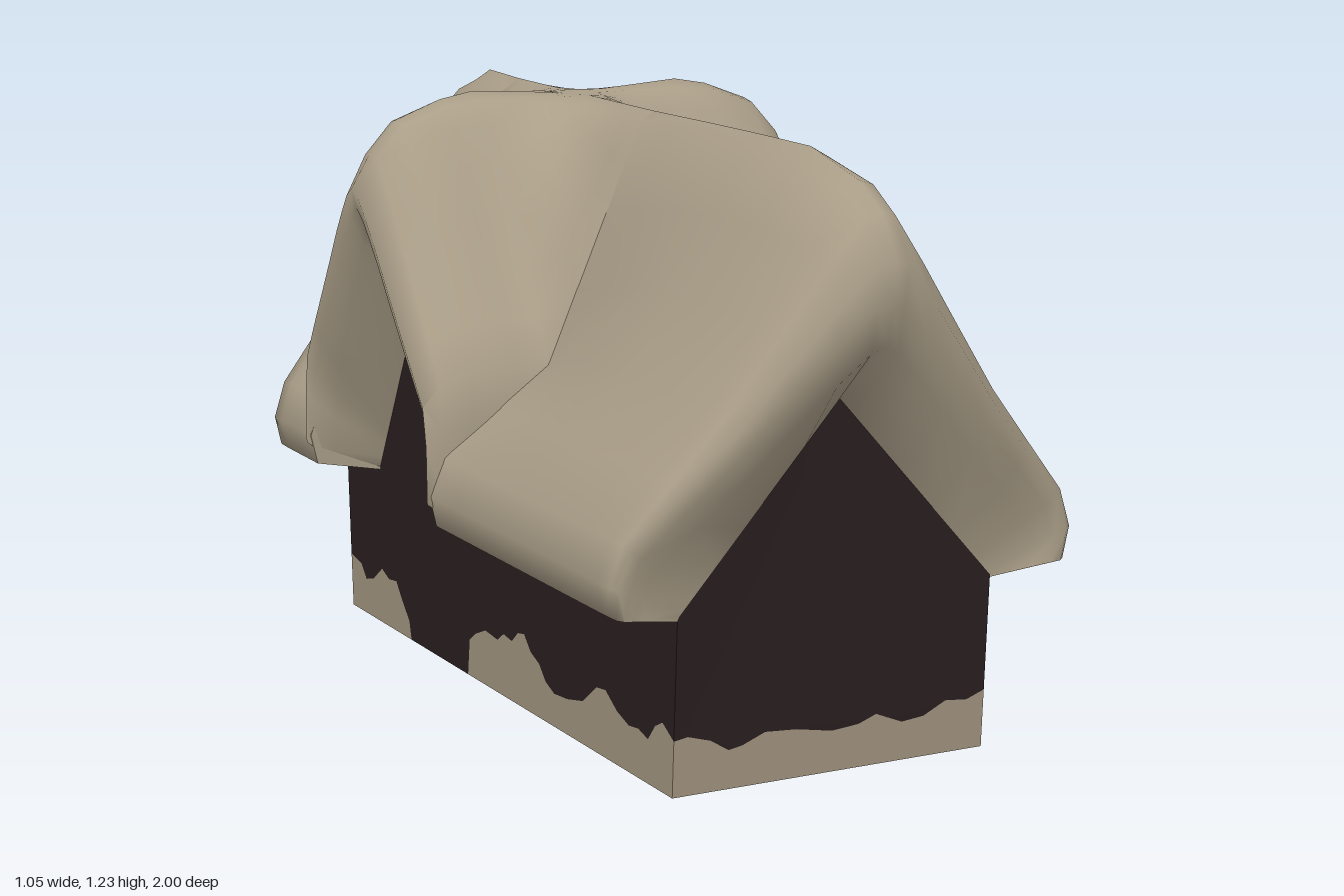
import * as THREE from 'three';
import { toCreasedNormals } from 'three/addons/utils/BufferGeometryUtils.js';

const material = (name, color) =>
  new THREE.MeshStandardMaterial({ name, color, side: THREE.DoubleSide });

// Half profiles from ridge to eave: [offset, height, fraction along the wall gable]
const MAIN = [[0, 1.22, 0], [0.035, 1.2, 0.07], [0.11, 1.07, 0.22], [0.2, 0.92, 0.4], [0.3, 0.765, 0.6],
  [0.4, 0.64, 0.76], [0.49, 0.53, 0.9], [0.515, 0.45, 0.96], [0.5, 0.385, 0.99], [0.35, 0.355, 1]];
// The main slope folds inwards beside the cross gable
const FOLD = [[0, 1.215, 0], [0.035, 1.19, 0.07], [0.11, 1.01, 0.22], [0.18, 0.85, 0.4], [0.245, 0.7, 0.6],
  [0.36, 0.62, 0.76], [0.485, 0.53, 0.9], [0.515, 0.45, 0.96], [0.5, 0.385, 0.99], [0.35, 0.355, 1]];
const CROSS = [[0, 1.23, 0], [0.035, 1.215, 0.1], [0.07, 1.165, 0.18], [0.12, 1.09, 0.28], [0.18, 0.99, 0.4],
  [0.25, 0.88, 0.56], [0.31, 0.79, 0.7], [0.37, 0.7, 0.82], [0.38, 0.6, 0.89], [0.375, 0.45, 0.95], [0.36, 0.36, 1]];
const CROSS_Z = -0.33;
const BACK_SCALE = 0.78; // the rear slope of the cross gable is steeper

const lerp = THREE.MathUtils.lerp;
const folded = (w) => MAIN.map((p, i) => p.map((v, k) => lerp(v, FOLD[i][k], w)));

// How far the folded slope has dropped at distance x from the ridge, from 0 to 1
function foldDrop(x) {
  const i = FOLD.findIndex((p) => p[0] > x);
  const a = FOLD[i - 1], b = FOLD[i];
  const y = lerp(a[1], b[1], (x - a[0]) / (b[0] - a[0]));
  return Math.min(1, (FOLD[0][1] - y) / (FOLD[0][1] - FOLD[4][1]));
}

// One thatch cross-section, shrunk by b towards the wall gable; ridge and eave positions r and e
function ring(profile, gable, b, r, e, negScale = 1) {
  const [w, top, bottom, wall] = gable;
  const last = profile.length - 1;
  const half = profile.map(([a, y, t], i) => {
    const s = b ** (1 + 1.5 * t); // the eaves stay fuller than the ridge
    const along = lerp(r, e, i > 6 ? 1 : Math.min(1, a / 0.5));
    return [
      lerp(a, w * t, s),
      lerp(y, lerp(top, bottom, t), s),
      i === last ? THREE.MathUtils.clamp(e, -wall, wall) : along,
    ];
  });
  const mirrored = half.slice(1).reverse().map(([a, y, p]) => [-a * negScale, y, p]);
  return [...mirrored, ...half];
}

// Skin a list of cross-sections
function skin(rings, place) {
  const n = rings[0].length, idx = [];
  for (let i = 0; i < rings.length - 1; i++)
    for (let j = 0; j < n - 1; j++) {
      const a = i * n + j, b = a + 1, c = a + n, d = c + 1;
      idx.push(a, c, b, b, c, d);
    }
  const g = new THREE.BufferGeometry();
  g.setAttribute('position', new THREE.Float32BufferAttribute(rings.flat().flatMap((p) => place(...p)), 3));
  g.setIndex(idx);
  return toCreasedNormals(g, 1.35);
}

// Flat polygon placed in space
function panel(points, place) {
  const g = new THREE.ShapeGeometry(new THREE.Shape(points.map((p) => new THREE.Vector2(...p))));
  const pos = g.attributes.position;
  for (let i = 0; i < pos.count; i++) pos.setXYZ(i, ...place(pos.getX(i), pos.getY(i)));
  g.computeVertexNormals();
  return g;
}

// Thin rounded plate centred on the origin
function plate(w, h, r) {
  const x = w / 2, y = h / 2, s = new THREE.Shape();
  s.moveTo(-x + r, -y).lineTo(x - r, -y).quadraticCurveTo(x, -y, x, -y + r);
  s.lineTo(x, y - r).quadraticCurveTo(x, y, x - r, y);
  s.lineTo(-x + r, y).quadraticCurveTo(-x, y, -x, y - r);
  s.lineTo(-x, -y + r).quadraticCurveTo(-x, -y, -x + r, -y);
  return new THREE.ExtrudeGeometry(s, { depth: 0.008, bevelEnabled: false, curveSegments: 5 }).translate(0, 0, -0.004);
}

export function createModel() {
  const model = new THREE.Group();
  model.name = 'cottage';
  const thatch = material('thatch', 0xaa9e88);
  const plaster = material('plaster', 0xa49680);
  const darkWall = material('darkWall', 0x291e20);
  const add = (name, geometry, mat, parent = model) => {
    const m = new THREE.Mesh(geometry, mat);
    m.name = name;
    parent.add(m);
    return m;
  };

  // Main thatch: a front and a rear part, each with a rounded, overhanging end
  const mainGable = [0.35, 0.75, 0.36, 0.8];
  const mainEnd = [[1, 0.8, 0.8], [0.72, 0.97, 0.825], [0.55, 0.99, 0.84], [0.38, 1, 0.845],
    [0.2, 0.945, 0.835], [0.09, 0.86, 0.79]];
  const mainParts = [
    ['frontThatch', 1, [[0.68, 0], [0.5, 0], [0.38, 0.15], [0.26, 0.4], [0.15, 0.7], [0.03, 1]]],
    ['rearThatch', -1, [[0.76, 0.2], [0.68, 0.6], [0.61, 1]]],
  ];
  for (const [name, side, middle] of mainParts) {
    const rings = mainEnd.map(([b, r, e]) => ring(MAIN, mainGable, b, side * r, side * e));
    for (const [z, w] of middle) rings.push(ring(folded(w), mainGable, 0, side * z, side * z));
    const inner = side * middle[middle.length - 1][0];
    rings.push(ring(FOLD, mainGable, 1, inner, inner));
    add(name, skin(rings, (a, y, p) => [a, y, p]), thatch);
  }

  // Cross gable thatch running from side to side, melting into the main ridge
  const crossGable = [0.36, 0.89, 0.36, 0.35];
  const crossHalf = [[1, 0.35, 0.35], [0.82, 0.49, 0.46], [0.68, 0.515, 0.51], [0.56, 0.525, 0.523],
    [0.34, 0.48, 0.49], [0.15, 0.42, 0.42], [0.04, 0.32, 0.32]];
  for (const x of [0.245, 0.18, 0.145, 0.11, 0.07, 0.035]) crossHalf.push([0, x, x]);
  const crossRing = (b, r, e) => ring(CROSS, crossGable, b, r, e, BACK_SCALE)
    .map(([a, y, p]) => [a, lerp(FOLD[0][1], y, foldDrop(Math.min(0.3, Math.abs(p)))), p]);
  const crossRings = [
    ...crossHalf.map(([b, r, e]) => crossRing(b, r, e)),
    crossRing(0, 0, 0),
    ...[...crossHalf].reverse().map(([b, r, e]) => crossRing(b, -r, -e)),
  ];
  add('crossThatch', skin(crossRings, (a, y, p) => [p, y, CROSS_Z + a]), thatch);

  // Vaulted underside of the roof: main and cross slopes meeting in straight valleys
  for (const side of [1, -1])
    for (const [end, eave, valley] of [[0.8, 0.04, -0.233], [-0.8, -0.62, -0.405]]) {
      const x = side * 0.35;
      const slopes = [
        [[0, 0.75, end], [x, 0.36, end], [0, 0.75, valley], [x, 0.36, eave]],
        [[0, 0.89, CROSS_Z], [x, 0.89, CROSS_Z], [0, 0.75, valley], [x, 0.36, eave]],
      ];
      for (const corners of slopes) {
        const g = new THREE.PlaneGeometry();
        corners.forEach((c, i) => g.attributes.position.setXYZ(i, ...c));
        g.computeVertexNormals();
        add('ceilingSlope', g, thatch);
      }
    }

  // Walls: a dark upper part above an uneven plaster base
  function wall(name, top, runs, place) {
    const group = new THREE.Group();
    group.name = name;
    model.add(group);
    add('darkWall', panel([...runs.flat(), ...top], place), darkWall, group);
    for (const run of runs) {
      const base = [...run];
      const first = run[0], last = run[run.length - 1];
      if (last[1] > 0) base.push([last[0], 0]);
      if (first[1] > 0) base.push([first[0], 0]);
      add('plasterBase', panel(base, place), plaster, group);
    }
  }
  const gableTop = [[0.35, 0.36], [0, 0.75], [-0.35, 0.36]];
  const lean = (y) => Math.min(0.8, 0.78 + 0.0556 * y);
  const frontWave = [[-0.35, 0.115], [-0.32, 0.12], [-0.27, 0.105], [-0.23, 0.08], [-0.2, 0.085], [-0.15, 0.105],
    [-0.08, 0.1], [0, 0.085], [0.06, 0.09], [0.1, 0.105], [0.16, 0.08], [0.21, 0.085], [0.26, 0.11], [0.31, 0.105], [0.35, 0.12]];
  const backWave = [[-0.35, 0.12], [-0.3, 0.14], [-0.25, 0.1], [-0.18, 0.09], [-0.12, 0.12], [-0.05, 0.11],
    [0.02, 0.08], [0.1, 0.09], [0.16, 0.12], [0.23, 0.1], [0.29, 0.12], [0.35, 0.14]];
  wall('frontWall', gableTop, [frontWave], (u, y) => [u, y, lean(y)]);
  wall('backWall', gableTop, [backWave], (u, y) => [u, y, -lean(y)]);

  const sideTop = [[-0.8, 0.36], [-0.62, 0.36], [CROSS_Z, 0.89], [0.04, 0.36], [0.8, 0.36]];
  const sideRuns = [
    [[0.78, 0.115], [0.74, 0.14], [0.71, 0.125], [0.68, 0.09], [0.64, 0.1], [0.6, 0.095], [0.55, 0.11], [0.5, 0.14],
      [0.46, 0.135], [0.4, 0.09], [0.33, 0.075], [0.27, 0.07], [0.23, 0.085], [0.2, 0.115], [0.16, 0.13], [0.13, 0.16],
      [0.1, 0.155], [0.07, 0.13], [0.03, 0.135], [0, 0.115], [-0.06, 0.12], [-0.11, 0.1], [-0.14, 0.08], [-0.15, 0]],
    [[-0.45, 0], [-0.46, 0.04], [-0.5, 0.08], [-0.53, 0.115], [-0.57, 0.11], [-0.61, 0.125], [-0.66, 0.09],
      [-0.7, 0.08], [-0.73, 0.11], [-0.78, 0.12]],
  ];
  // Side wall ends follow the lean of the gable walls
  const sideZ = (u, y) => (Math.abs(u) > 0.77 ? Math.sign(u) * lean(y) : u);
  for (const [name, side] of [['leftWall', 1], ['rightWall', -1]]) {
    wall(name, sideTop, sideRuns, (u, y) => [side * 0.35, y, sideZ(u, y)]);
    // Four-pane gable window
    for (const dz of [-0.042, 0.042])
      for (const dy of [-0.04, 0.04]) {
        const pane = add('gablePane', plate(0.064, 0.064, 0.028), plaster);
        pane.rotation.y = Math.PI / 2;
        pane.position.set(side * 0.352, 0.685 + dy, -0.313 + dz);
      }
  }

  // Pair of windows in the back wall
  for (const x of [-0.085, 0.095])
    add('backWindow', plate(0.145, 0.175, 0.04), plaster).position.set(x, 0.33, -0.802);

  return model;
}
